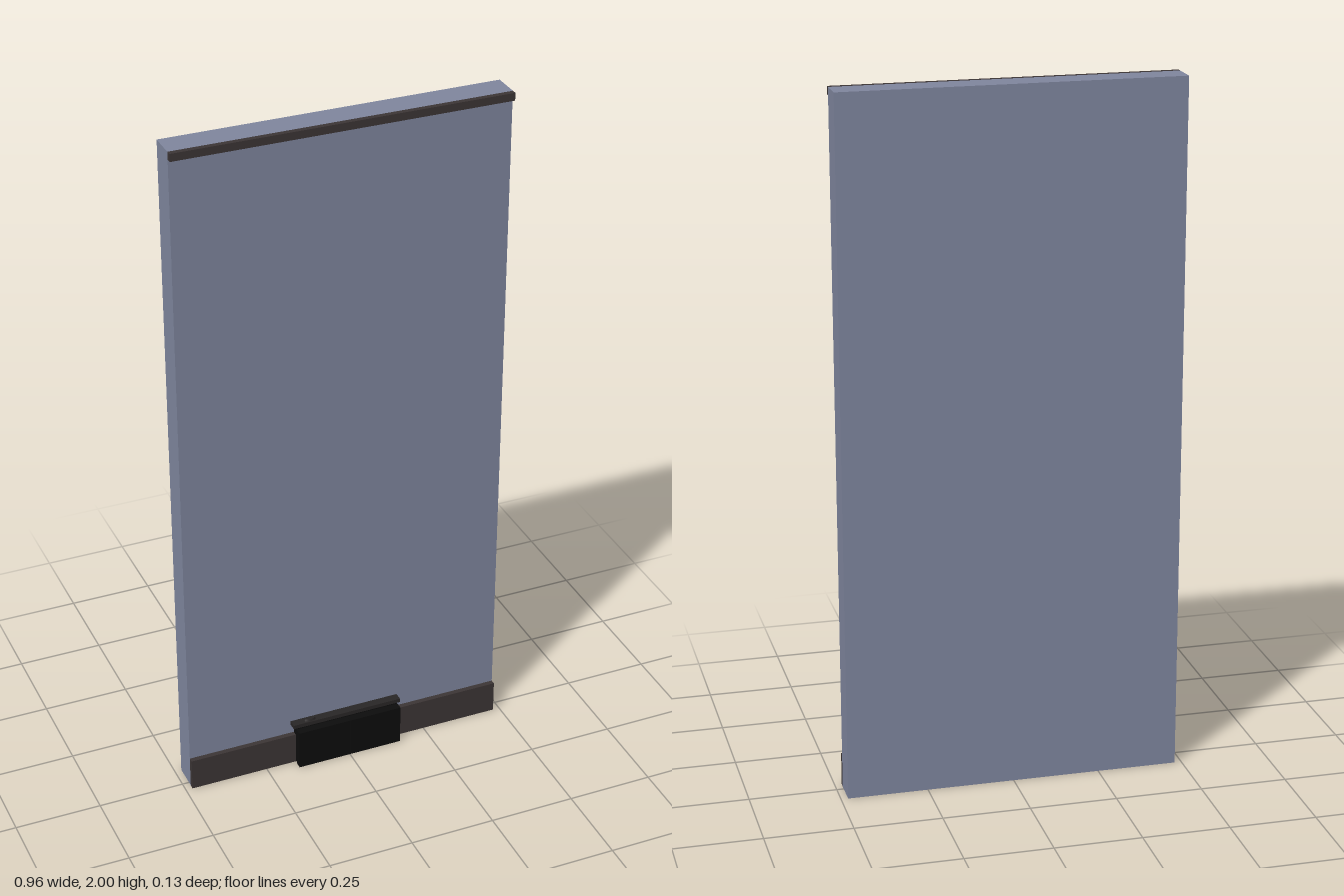
import * as THREE from 'three';

export function createModel() {
  const model = new THREE.Group();
  const material = (name, color) => {
    const m = new THREE.MeshStandardMaterial({ color });
    m.name = name;
    return m;
  };
  const wallBlue = material('wallBlue', 0x7f869e);
  const trimBrown = material('trimBrown', 0x3c3535);
  const shelfDark = material('shelfDark', 0x292626);
  const black = material('black', 0x0d0d0d);

  // Box given by its minimum and maximum corners
  const box = (name, mat, [x0, y0, z0], [x1, y1, z1]) => {
    const mesh = new THREE.Mesh(new THREE.BoxGeometry(x1 - x0, y1 - y0, z1 - z0), mat);
    mesh.position.set((x0 + x1) / 2, (y0 + y1) / 2, (z0 + z1) / 2);
    mesh.name = name;
    model.add(mesh);
    return mesh;
  };

  // Wall slab with its two trims
  box('wall', wallBlue, [-0.48, 0, -0.064], [0.48, 2, 0.015]);
  box('baseboard', trimBrown, [-0.48, 0, 0.015], [0.48, 0.097, 0.03]);
  box('topTrim', trimBrown, [-0.48, 1.978, 0.015], [0.48, 2, 0.03]);

  // Low cabinet: backing, shelf and two door panels meeting at the middle
  box('cabinetBacking', black, [-0.158, 0.002, 0.015], [0.158, 0.126, 0.04]);
  box('shelf', shelfDark, [-0.168, 0.126, 0.015], [0.168, 0.138, 0.04]);
  for (const side of [-1, 1]) {
    const inner = side * 0.0005, outer = side * 0.16;
    box(side < 0 ? 'rightDoor' : 'leftDoor', black,
      [Math.min(inner, outer), 0.001, 0.04], [Math.max(inner, outer), 0.123, 0.062]);
  }

  // Small rounded object lying on the shelf
  const knob = new THREE.Mesh(new THREE.CylinderGeometry(0.014, 0.018, 0.006, 16), shelfDark);
  knob.scale.z = 0.5;
  knob.position.set(-0.113, 0.141, 0.029);
  knob.name = 'shelfKnob';
  model.add(knob);

  return model;
}
